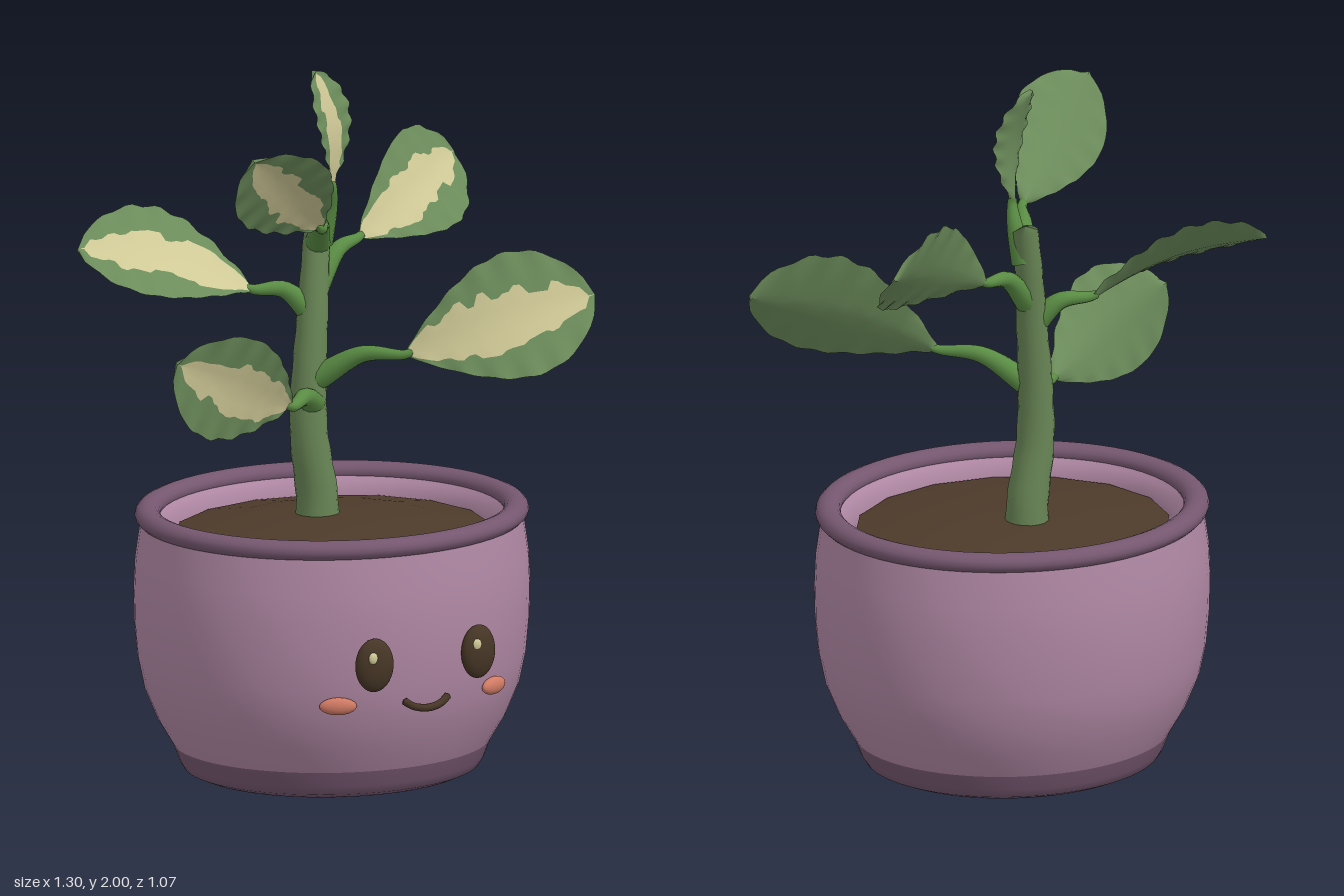
import * as THREE from 'three';

const mat = (name, color, side = THREE.FrontSide) => {
  const m = new THREE.MeshStandardMaterial({ color, side });
  m.name = name;
  return m;
};
const V = (a) => new THREE.Vector3(...a);

// Tube along a smooth path whose radius follows radiusAt(t)
function taperedTube(points, radiusAt, segments, sides) {
  const curve = new THREE.CatmullRomCurve3(points.map(V));
  const geo = new THREE.TubeGeometry(curve, segments, 1, sides, false);
  const pos = geo.attributes.position;
  const p = new THREE.Vector3();
  for (let i = 0; i <= segments; i++) {
    const c = curve.getPointAt(i / segments), r = radiusAt(i / segments);
    for (let j = 0; j <= sides; j++) {
      const k = i * (sides + 1) + j;
      p.fromBufferAttribute(pos, k).sub(c).multiplyScalar(r).add(c);
      pos.setXYZ(k, p.x, p.y, p.z);
    }
  }
  return geo;
}

// Ruffled, arched leaf: group 0 is green (margins and back), group 1 the pale jagged centre
function leafGeometry({ base, tip, across, half, arch = 0.04 }, seed) {
  const rows = 32, cols = 9;
  const L = V(tip).sub(V(base)), dir = L.clone().normalize();
  const W = V(across);
  W.addScaledVector(dir, -W.dot(dir)).normalize();
  const N = W.clone().cross(dir);
  if (N.z < 0) { W.negate(); N.negate(); }
  const jag = (i, k) => {
    const s = Math.sin(i * 12.99 + k * 78.2 + seed * 37.7) * 4375.5;
    return s - Math.floor(s);
  };
  const verts = [], green = [], pale = [];
  for (const back of [0, 1]) {
    for (let i = 0; i <= rows; i++) {
      const t = i / rows;
      const w = half * Math.pow(Math.max(0, Math.sin(Math.PI * Math.pow(t, 1.45))), 0.6)
        * (1 + 0.015 * Math.sin(t * 40 + seed));
      const stripe = (k) => (t > 0.95 ? 0.03 : 0.8 - 0.9 * t + 0.45 * t * t + 0.22 * (jag(i >> 1, k) - 0.5));
      const a = stripe(1), b = stripe(2);
      const us = [-1, -(1 + a) / 2, -a, -a / 2, 0, b / 2, b, (1 + b) / 2, 1];
      for (const u of us) {
        const ruffle = 0.005 * Math.sin(t * 40 + seed + (u > 0 ? 1 : 0)) * u ** 4;
        const lift = arch * Math.sin(Math.PI * t) + 0.1 * w * Math.abs(u) + ruffle
          - back * 0.012 * (1 - u * u);
        const p = V(base).addScaledVector(L, t).addScaledVector(W, w * u).addScaledVector(N, lift);
        verts.push(p.x, p.y, p.z);
      }
    }
    const start = back * (rows + 1) * cols;
    for (let i = 0; i < rows; i++) {
      for (let j = 0; j < cols - 1; j++) {
        const a = start + i * cols + j, b = a + 1, c = b + cols, d = a + cols;
        const list = !back && j > 1 && j < 6 ? pale : green;
        if (back) list.push(a, c, b, a, d, c);
        else list.push(a, b, c, a, c, d);
      }
    }
  }
  const geo = new THREE.BufferGeometry();
  geo.setAttribute('position', new THREE.Float32BufferAttribute(verts, 3));
  geo.setIndex([...green, ...pale]);
  geo.addGroup(0, green.length, 0);
  geo.addGroup(green.length, pale.length, 1);
  geo.computeVertexNormals();
  return geo;
}

export function createModel() {
  const model = new THREE.Group();
  model.name = 'pottedPlant';
  const pink = mat('potMauve', 0xb088a4, THREE.DoubleSide);
  const plum = mat('rimPlum', 0x75576f, THREE.DoubleSide);
  const soilMat = mat('soilBrown', 0x4d3a2a, THREE.DoubleSide);
  const dark = mat('faceBrown', 0x463626);
  const blush = mat('cheekCoral', 0xd07a64);
  const stemMat = mat('stemGreen', 0x698656);
  const stalkMat = mat('stalkGreen', 0x5a8c44);
  const leafMat = mat('leafGreen', 0x6c8c5b);
  const cream = mat('leafCream', 0xcfc896);

  const add = (parent, name, geo, material) => {
    const m = new THREE.Mesh(geo, material);
    m.name = name;
    parent.add(m);
    return m;
  };
  const lathe = (pts, n = 64) =>
    new THREE.LatheGeometry(pts.map(([x, y]) => new THREE.Vector2(x, y)), n);

  // Pot, slightly oval
  const pot = new THREE.Group();
  pot.name = 'pot';
  pot.position.set(0.01, 0, -0.014);
  pot.scale.z = 0.92;
  model.add(pot);
  add(pot, 'potBase', lathe([[0.13, 0.12], [0.13, 0.08], [0.16, 0.05], [0.22, 0.02], [0.3, 0.004],
    [0.39, 0], [0.425, 0.015], [0.44, 0.04], [0.457, 0.085]]), plum);
  add(pot, 'potBody', lathe([[0.457, 0.085], [0.502, 0.16], [0.54, 0.25], [0.559, 0.34],
    [0.568, 0.44], [0.57, 0.53], [0.566, 0.62], [0.55, 0.73]]), pink);
  add(pot, 'potInside', lathe([[0.505, 0.745], [0.487, 0.725], [0.455, 0.68], [0.44, 0.35],
    [0.35, 0.15], [0.13, 0.12]]), pink);
  const rim = add(pot, 'potRim', new THREE.TorusGeometry(0.53, 0.037, 14, 64).rotateX(Math.PI / 2), plum);
  rim.scale.y = 0.76;
  rim.position.y = 0.743;
  add(pot, 'soil', lathe([[0.455, 0.69], [0.3, 0.715], [0.12, 0.725], [0, 0.727]], 16), soilMat);

  // Face
  const ball = new THREE.SphereGeometry(1, 28, 18);
  const blob = (name, material, pos, size, yaw = 0) => {
    const m = add(model, name, ball, material);
    m.position.set(...pos);
    m.scale.set(...size);
    m.rotation.y = yaw;
  };
  for (const [side, s] of [['left', 1], ['right', -1]]) {
    const ex = 0.01 + s * 0.17;
    blob(side + 'Eye', dark, [ex, 0.42, 0.503], [0.057, 0.077, 0.03], s * 0.15);
    blob(side + 'EyeGlint', cream, [ex - 0.018, 0.446, 0.527], [0.014, 0.017, 0.008]);
    blob(side + 'Cheek', blush, [0.01 + s * 0.255, 0.3, 0.446], [0.053, 0.025, 0.018], s * 0.45);
  }
  add(model, 'mouth', taperedTube([[-0.066, 0.308, 0.502], [-0.035, 0.288, 0.509], [0.01, 0.28, 0.514],
    [0.055, 0.288, 0.509], [0.086, 0.308, 0.502]],
    (t) => (t === 0 || t === 1 ? 0 : 0.011), 24, 10), dark);

  // Trunk with faint growth rings
  add(model, 'trunk', taperedTube([[0.003, 0.69, -0.08], [0, 0.78, -0.08], [-0.026, 0.95, -0.078],
    [-0.026, 1.1, -0.08], [-0.005, 1.32, -0.092], [0.018, 1.5, -0.112], [0.034, 1.61, -0.122]],
    (t) => (t === 1 ? 0 : (0.062 - 0.027 * t) * (1 + 0.02 * Math.sin(t * 60))), 60, 18), stemMat);

  // Leaves, each with the two points where its stalk starts and bends
  const leaves = [
    { name: 'upperLeft', from: [0.015, 1.38, -0.1], bend: [0.1, 1.465, -0.13],
      base: [0.185, 1.48, -0.165], tip: [0.635, 1.635, -0.39], across: [-0.06, 0.12, -0.05], half: 0.152 },
    { name: 'lowerLeft', from: [-0.01, 1.12, -0.06], bend: [0.085, 1.195, 0.03],
      base: [0.17, 1.2, 0.115], tip: [0.64, 1.37, 0.375], across: [0, 0.165, -0.085], half: 0.182 },
    { name: 'middleRight', from: [-0.01, 1.3, -0.09], bend: [-0.08, 1.37, -0.125],
      base: [-0.162, 1.375, -0.15], tip: [-0.645, 1.52, -0.31], across: [0.03, 0.11, -0.15], half: 0.178 },
    { name: 'lowerRight', from: [-0.025, 1.05, -0.06], bend: [-0.09, 1.085, 0],
      base: [-0.155, 1.075, 0.045], tip: [-0.58, 1.265, 0.125], across: [0.03, 0.15, 0.045], half: 0.16 },
    { name: 'upperRight', from: [0.015, 1.5, -0.1], bend: [-0.035, 1.575, 0],
      base: [-0.09, 1.59, 0.095], tip: [-0.43, 1.865, 0.295], across: [0.31, 0.27, 0.2], half: 0.143, arch: 0.015 },
    { name: 'top', from: [0.03, 1.5, -0.11], bend: [0.045, 1.6, -0.085],
      base: [0.04, 1.665, -0.062], tip: [0, 2, -0.09], across: [0.085, 0, -0.05], half: 0.094, arch: 0.03 },
  ];
  leaves.forEach((leaf, i) => {
    const g = new THREE.Group();
    g.name = leaf.name + 'Branch';
    const end = V(leaf.base).lerp(V(leaf.tip), 0.06).toArray();
    add(g, leaf.name + 'Stalk', taperedTube([leaf.from, leaf.bend, leaf.base, end],
      (t) => (t === 1 ? 0 : 0.037 - 0.026 * t), 20, 12), stalkMat);
    add(g, leaf.name + 'Leaf', leafGeometry(leaf, i + 1), [leafMat, cream]);
    model.add(g);
  });
  return model;
}
